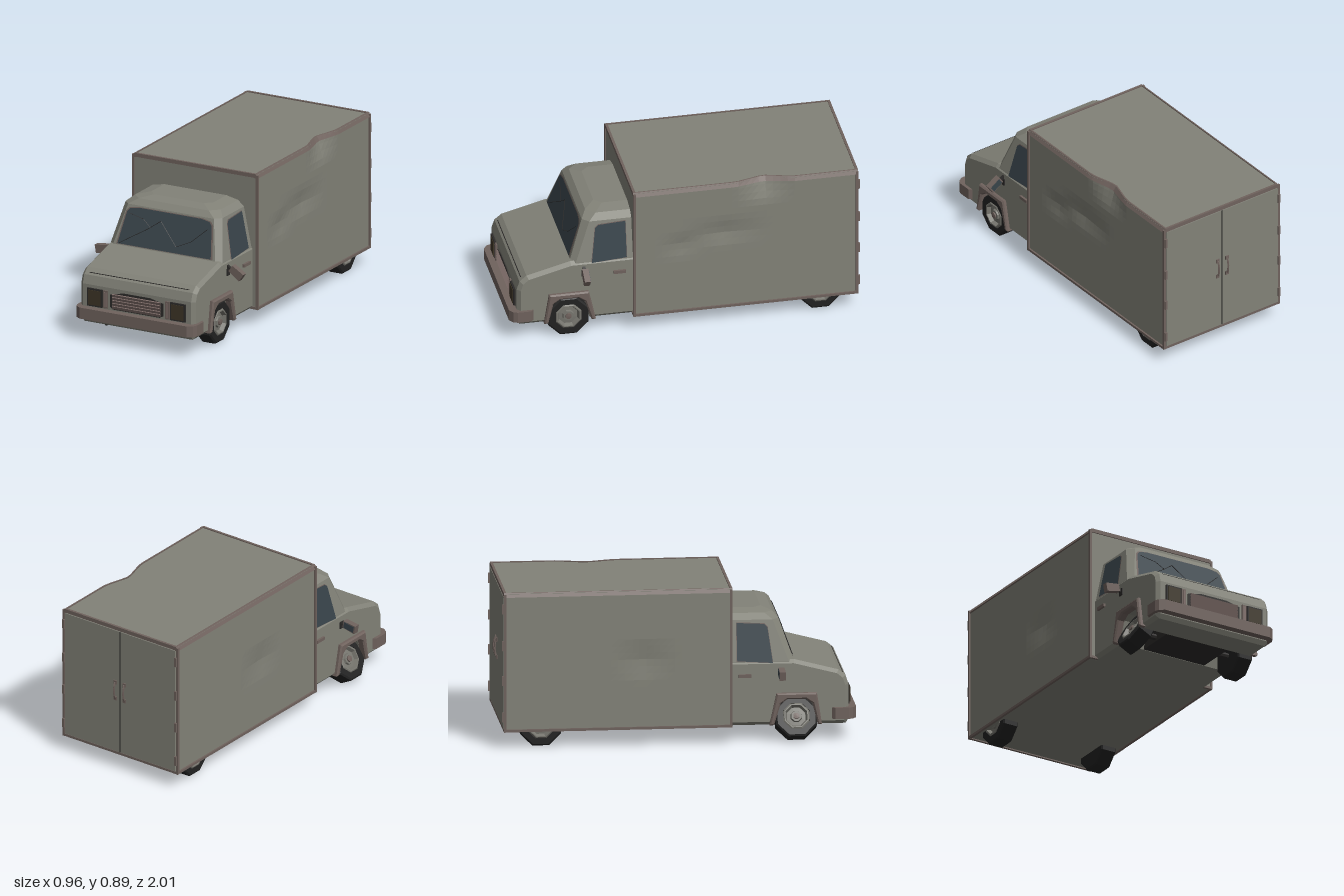
import * as THREE from 'three';

const mat = (color) => new THREE.MeshStandardMaterial({ color, flatShading: true, side: THREE.DoubleSide });
const M = {
  body: mat(0x828278), trim: mat(0x6f625d), grille: mat(0x7d6c68), glass: mat(0x38434a), dark: mat(0x2c2a29),
  tire: mat(0x222222), rim: mat(0x77766f), lamp: mat(0x3d3526),
};

function add(parent, name, geometry, material, x = 0, y = 0, z = 0) {
  const mesh = new THREE.Mesh(geometry, material);
  mesh.name = name;
  mesh.position.set(x, y, z);
  parent.add(mesh);
  return mesh;
}
const box = (parent, name, m, w, h, d, x, y, z) => add(parent, name, new THREE.BoxGeometry(w, h, d), m, x, y, z);
const shapeOf = (pts) => new THREE.Shape(pts.map(([a, b]) => new THREE.Vector2(a, b)));

// Side outline given as (z, y), extruded across x and centred
function extrudeX(pts, width, bevel) {
  const depth = width - 2 * bevel;
  const g = new THREE.ExtrudeGeometry(shapeOf(pts), {
    depth, bevelEnabled: bevel > 0, bevelSize: bevel, bevelThickness: bevel, bevelOffset: -bevel, bevelSegments: 1,
  });
  return g.rotateY(-Math.PI / 2).translate(depth / 2, 0, 0);
}

// Move every vertex by a rule
function warp(g, rule) {
  const p = g.attributes.position, v = new THREE.Vector3();
  for (let i = 0; i < p.count; i++) {
    rule(v.fromBufferAttribute(p, i));
    p.setXYZ(i, v.x, v.y, v.z);
  }
  g.computeVertexNormals();
  return g;
}

// Stack of open-backed rings joined by quads, closed on top
function loft(rings) {
  const n = rings[0].length, idx = [];
  for (let r = 0; r < rings.length - 1; r++) {
    for (let j = 0; j < n; j++) {
      const a = r * n + j, b = r * n + (j + 1) % n;
      idx.push(a, a + n, b, b, a + n, b + n);
    }
  }
  const top = (rings.length - 1) * n;
  for (let j = 1; j < n - 1; j++) idx.push(top, top + j + 1, top + j);
  const g = new THREE.BufferGeometry();
  g.setAttribute('position', new THREE.Float32BufferAttribute(rings.flat(2), 3));
  g.setIndex(idx);
  g.computeVertexNormals();
  return g;
}

// Crushed roof edge and shallow panel dents
const bump = (v, z, y, rz, ry, d) => d * Math.max(0, 1 - Math.abs(v.z - z) / rz) * Math.max(0, 1 - Math.abs(v.y - y) / ry);
function dent(v) {
  if (v.x > 0.3) {
    v.x -= bump(v, -0.45, 0.9, 0.16, 0.14, 0.045) + bump(v, -0.22, 0.59, 0.25, 0.09, 0.015) + bump(v, 0.02, 0.53, 0.14, 0.08, 0.012);
  } else if (v.x < -0.3) v.x += bump(v, -0.2, 0.5, 0.18, 0.12, 0.012);
}

function buildCargo() {
  const g = new THREE.Group();
  g.name = 'cargoBox';
  const zm = -0.3425, len = 1.285;
  const core = new THREE.BoxGeometry(0.79, 0.785, len - 0.012, 1, 20, 32).translate(0, 0.505, zm);
  add(g, 'cargoPanels', warp(core, dent), M.body);
  // Edge trim
  for (const s of [-1, 1]) {
    const rail = new THREE.BoxGeometry(0.022, 0.024, len, 1, 1, 32).translate(s * 0.394, 0.891, zm);
    warp(rail, (v) => {
      if (v.y > 0.9 && Math.abs(v.x) > 0.4) v.x -= s * 0.014;
      dent(v);
    });
    add(g, 'roofRail', rail, M.trim);
    box(g, 'floorRail', M.trim, 0.014, 0.014, len, s * 0.398, 0.113, zm);
    for (const z of [0.293, -0.978]) box(g, 'cornerPost', M.trim, 0.014, 0.79, 0.014, s * 0.398, 0.5, z);
  }
  for (const z of [0.293, -0.978]) {
    box(g, 'topCrossRail', M.trim, 0.78, 0.022, 0.014, 0, 0.892, z);
    box(g, 'bottomCrossRail', M.trim, 0.8, 0.014, 0.014, 0, 0.113, z);
  }
  // Rear doors, hinges and handles
  for (const s of [-1, 1]) {
    box(g, 'rearDoor', M.body, 0.384, 0.755, 0.01, s * 0.195, 0.5, -0.981);
    for (const y of [0.19, 0.4, 0.6, 0.81]) box(g, 'hinge', M.trim, 0.016, 0.055, 0.012, s * 0.393, y, -0.989);
    const path = new THREE.CatmullRomCurve3([[0, 0.45, -0.98], [0, 0.465, -0.995], [0, 0.545, -0.995], [0, 0.56, -0.98]]
      .map((p) => new THREE.Vector3(...p)));
    add(g, 'doorHandle', new THREE.TubeGeometry(path, 8, 0.006, 5), M.trim, s * 0.032, 0, 0);
    for (const y of [0.455, 0.555]) box(g, 'handleMount', M.trim, 0.022, 0.022, 0.008, s * 0.032, y, -0.988);
  }
  box(g, 'doorSeam', M.dark, 0.005, 0.755, 0.003, 0, 0.5, -0.985);
  return g;
}

function buildCab() {
  const g = new THREE.Group();
  g.name = 'cab';
  // Lower body with wheel openings
  add(g, 'lowerBody', extrudeX([
    [0.27, 0.105], [0.54, 0.105], [0.575, 0.235], [0.61, 0.262], [0.715, 0.262], [0.75, 0.235], [0.785, 0.105],
    [0.94, 0.105], [0.956, 0.13], [0.956, 0.33], [0.94, 0.38], [0.9, 0.413], [0.65, 0.478], [0.27, 0.478],
  ], 0.736, 0.02), M.body);
  box(g, 'innerFloor', M.dark, 0.4, 0.2, 0.4, 0, 0.207, 0.66);

  // Upper cab: half width, front z, corner chamfer at each height
  const ring = ([y, hx, zf, c]) => [[hx, y, 0.28], [hx, y, zf - c], [hx - c, y, zf], [c - hx, y, zf], [-hx, y, zf - c], [-hx, y, 0.28]];
  add(g, 'upperCab', loft([
    [0.43, 0.366, 0.664, 0.03], [0.47, 0.36, 0.65, 0.03], [0.7, 0.312, 0.57, 0.036],
    [0.732, 0.275, 0.54, 0.05], [0.748, 0.2, 0.48, 0.04],
  ].map(ring)), M.body);

  // Glass follows the slope of the walls
  const frontZ = (y) => 0.65 - (y - 0.47) * 0.08 / 0.23;
  const sideX = (y) => 0.36 - (y - 0.47) * 0.048 / 0.23;
  const pane = (pts, grow, rule) => {
    const flat = new THREE.ShapeGeometry(shapeOf(pts));
    flat.computeBoundingBox();
    const c = flat.boundingBox.getCenter(new THREE.Vector3());
    return warp(flat, (v) => { v.sub(c).multiplyScalar(grow).add(c); rule(v); });
  };
  const screen = [[-0.3, 0.486], [0.3, 0.486], [0.272, 0.66], [0.255, 0.68], [0.2, 0.69], [-0.2, 0.69], [-0.255, 0.68], [-0.272, 0.66]];
  const window = [[0.53, 0.462], [0.33, 0.475], [0.33, 0.685], [0.485, 0.677], [0.503, 0.66]];
  for (const [grow, lift, name, m] of [[1.03, 0.002, 'Seal', M.trim], [1, 0.005, 'Glass', M.glass]]) {
    add(g, 'windshield' + name, pane(screen, grow, (v) => { v.z = frontZ(v.y) + lift; }), m);
    for (const s of [-1, 1]) add(g, 'sideWindow' + name, pane(window, grow, (v) => v.set(s * (sideX(v.y) + lift), v.y, v.x)), m);
  }
  // Cracks
  const cracks = [
    [[-0.29, 0.49], [-0.12, 0.59], [-0.05, 0.64], [0.07, 0.52], [0.16, 0.56], [0.25, 0.64]],
    [[-0.255, 0.655], [-0.16, 0.635], [-0.11, 0.597]],
  ];
  for (const line of cracks) {
    for (let i = 0; i < line.length - 1; i++) {
      const [a, b] = [line[i], line[i + 1]].map(([x, y]) => new THREE.Vector3(x, y, frontZ(y) + 0.006));
      add(g, 'crack', new THREE.TubeGeometry(new THREE.LineCurve3(a, b), 1, 0.0018, 3), M.dark);
    }
  }

  // Bumper, wrapping round the corners
  const bumper = new THREE.ExtrudeGeometry(shapeOf([
    [-0.365, 0.86], [0.365, 0.86], [0.386, 0.88], [0.386, 0.955], [0.375, 0.98], [0.345, 1],
    [-0.345, 1], [-0.375, 0.98], [-0.386, 0.955], [-0.386, 0.88],
  ]), { depth: 0.065, bevelEnabled: false }).rotateX(Math.PI / 2);
  add(g, 'bumper', bumper, M.trim, 0, 0.2, 0);

  // Grille
  const plate = shapeOf([[-0.17, 0.22], [-0.15, 0.208], [0.15, 0.208], [0.17, 0.22], [0.17, 0.293], [0.085, 0.312], [-0.085, 0.312], [-0.17, 0.293]]);
  add(g, 'grillePlate', new THREE.ExtrudeGeometry(plate, { depth: 0.008, bevelEnabled: false }), M.dark, 0, 0, 0.953);
  for (let i = 0; i < 5; i++) {
    const slat = box(g, 'grilleSlat', M.grille, 0.31, 0.017, 0.008, 0, 0.222 + i * 0.0172, 0.962);
    slat.rotation.x = 0.35;
  }
  box(g, 'hoodSeam', M.dark, 0.64, 0.003, 0.006, 0, 0.391, 0.926);

  for (const s of [-1, 1]) {
    // Lamps
    box(g, 'headlightFrame', M.dark, 0.098, 0.104, 0.016, s * 0.267, 0.26, 0.959);
    box(g, 'headlight', M.lamp, 0.08, 0.086, 0.016, s * 0.267, 0.26, 0.963);
    box(g, 'indicatorFrame', M.trim, 0.028, 0.104, 0.014, s * 0.199, 0.26, 0.958);
    box(g, 'indicator', M.grille, 0.014, 0.086, 0.014, s * 0.199, 0.26, 0.961);
    // Wheel arch
    add(g, 'wheelArch', extrudeX([
      [0.51, 0.108], [0.535, 0.108], [0.572, 0.23], [0.61, 0.256], [0.715, 0.256], [0.753, 0.23], [0.782, 0.108],
      [0.805, 0.108], [0.776, 0.29], [0.55, 0.29],
    ], 0.05, 0.008), M.trim, s * 0.366, 0, 0);
    box(g, 'cabDoorHandle', M.trim, 0.014, 0.018, 0.07, s * 0.374, 0.392, 0.372);
    // Mirror, the left one drooping
    const mirror = new THREE.Group();
    mirror.name = 'mirror';
    mirror.position.set(s * 0.37, s > 0 ? 0.435 : 0.413, 0.575);
    mirror.rotation.z = s > 0 ? -0.6 : 0.17;
    const housing = new THREE.BoxGeometry(0.084, 0.05, 0.034);
    warp(housing, (v) => { if (v.x * s < 0) v.y *= 0.85; });
    add(mirror, 'mirrorHousing', housing, M.trim, s * 0.062, 0.012, 0);
    box(mirror, 'mirrorGlass', M.glass, 0.068, 0.036, 0.003, s * 0.062, 0.012, -0.018);
    box(mirror, 'mirrorArm', M.dark, 0.05, 0.014, 0.016, s * 0.01, 0, 0);
    box(g, 'mirrorBase', M.dark, 0.014, 0.04, 0.03, s * 0.368, 0.405, 0.575);
    g.add(mirror);
  }
  return g;
}

// Eight-sided wheel, outer face toward side s
function buildWheel(s) {
  const g = new THREE.Group();
  g.name = 'wheel';
  const turn = (pts) => new THREE.LatheGeometry(pts.map(([r, h]) => new THREE.Vector2(r, h)), 8, Math.PI / 8).rotateZ(-s * Math.PI / 2);
  add(g, 'tire', turn([[0, -0.047], [0.115, -0.047], [0.125, -0.04], [0.125, 0.04], [0.115, 0.047], [0.08, 0.047], [0.076, 0.03]]), M.tire);
  add(g, 'rim', turn([[0.08, 0.044], [0.072, 0.05], [0.066, 0.05], [0.056, 0.028], [0.034, 0.03], [0.03, 0.042], [0, 0.042]]), M.rim);
  add(g, 'hub', turn([[0.018, 0.04], [0.018, 0.05], [0, 0.052]]), M.trim);
  return g;
}

export function createModel() {
  const model = new THREE.Group();
  model.name = 'boxTruck';
  model.add(buildCargo(), buildCab());
  for (const s of [-1, 1]) {
    for (const z of [0.663, -0.775]) {
      const wheel = buildWheel(s);
      wheel.position.set(s * 0.323, 0.134, z);
      // Broken front right wheel leans inward
      if (s < 0 && z > 0) {
        wheel.position.set(-0.318, 0.132, z);
        wheel.rotation.z = -0.48;
      }
      model.add(wheel);
    }
    for (const [z, r] of [[0.663, 'frontAxle'], [-0.775, 'rearAxle']]) {
      add(model, r, new THREE.CylinderGeometry(0.018, 0.018, 0.28, 8).rotateZ(Math.PI / 2), M.dark, s * 0.14, 0.134, z);
    }
  }
  return model;
}
